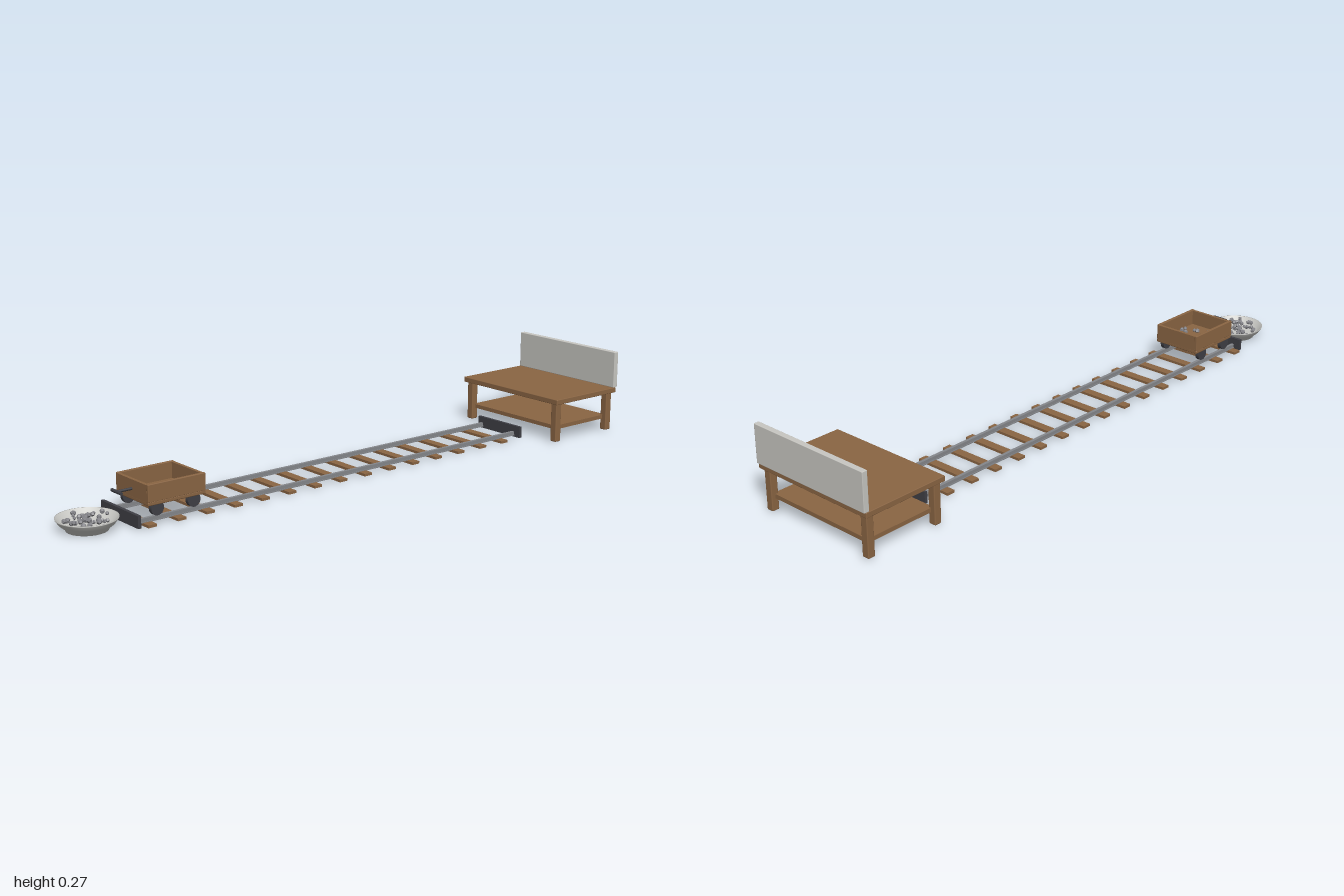
import * as THREE from 'three';
import { RoundedBoxGeometry } from 'three/addons/geometries/RoundedBoxGeometry.js';

const material = (name, color, extra = {}) =>
  Object.assign(new THREE.MeshStandardMaterial({ color, ...extra }), { name });

export function createModel() {
  const wood = material('wood', 0x8a6543);
  const steel = material('railSteel', 0x85878b);
  const iron = material('darkIron', 0x3f3f45);
  const pale = material('paleGrey', 0xc8c7c2);
  const dish = material('dishGrey', 0xc8c8c4, { side: THREE.DoubleSide });
  const stone = material('stone', 0x85858a, { flatShading: true });

  const model = new THREE.Group();
  model.name = 'railTrackSet';
  const group = (name) => {
    const g = new THREE.Group();
    g.name = name;
    model.add(g);
    return g;
  };
  const add = (parent, name, geometry, mat, x = 0, y = 0, z = 0) => {
    const m = new THREE.Mesh(geometry, mat);
    m.name = name;
    m.position.set(x, y, z);
    parent.add(m);
    return m;
  };
  // Box given by its limits on each axis, with an optional softened edge
  const box = (parent, name, mat, [x0, x1], [y0, y1], [z0, z1], r = 0) => {
    const size = [x1 - x0, y1 - y0, z1 - z0];
    const geometry = r ? new RoundedBoxGeometry(...size, 2, r) : new THREE.BoxGeometry(...size);
    return add(parent, name, geometry, mat, (x0 + x1) / 2, (y0 + y1) / 2, (z0 + z1) / 2);
  };
  let seed = 17;
  const random = () => (seed = (seed * 16807) % 2147483647) / 2147483647;

  // Bench with a lower shelf and a pale backboard
  const bench = group('bench');
  box(bench, 'benchTop', wood, [0.711, 0.994], [0.13, 0.147], [-0.217, 0.217], 0.002);
  box(bench, 'benchShelf', wood, [0.735, 0.972], [0.04, 0.053], [-0.192, 0.192]);
  box(bench, 'backboard', pale, [0.982, 1], [0.147, 0.267], [-0.217, 0.217], 0.002);
  for (const x of [0.732, 0.973])
    for (const z of [-0.195, 0.195])
      box(bench, 'benchLeg', wood, [x - 0.012, x + 0.012], [0.003, 0.131], [z - 0.012, z + 0.012], 0.003);

  // Track: sleepers, two rails, end stops
  const track = group('track');
  for (let i = 0; i < 15; i++) {
    const x = -0.769 + i * 0.0968;
    box(track, 'sleeper', wood, [x - 0.014, x + 0.014], [0.003, 0.011], [-0.108, 0.108]);
  }
  for (const z of [-0.073, 0.073]) {
    box(track, 'railBase', steel, [-0.79, 0.66], [0.01, 0.013], [z - 0.007, z + 0.007]);
    box(track, 'railHead', steel, [-0.79, 0.66], [0.013, 0.023], [z - 0.005, z + 0.005]);
  }
  for (const x of [-0.803, 0.671])
    box(track, 'endStop', iron, [x - 0.005, x + 0.005], [0.003, 0.04], [-0.096, 0.096]);

  // Open wooden wagon
  const wagon = group('wagon');
  const cx = -0.669;
  box(wagon, 'wagonFloor', wood, [cx - 0.096, cx + 0.096], [0.055, 0.067], [-0.083, 0.083], 0.003);
  for (const s of [-1, 1]) {
    const z = s * 0.078;
    const x = cx + s * 0.091;
    box(wagon, 'wagonSide', wood, [cx - 0.096, cx + 0.096], [0.065, 0.117], [z - 0.005, z + 0.005], 0.002);
    box(wagon, 'wagonEnd', wood, [x - 0.005, x + 0.005], [0.065, 0.115], [-0.074, 0.074]);
  }

  // Axles and wheels
  const across = (r, length, sides) => new THREE.CylinderGeometry(r, r, length, sides).rotateX(Math.PI / 2);
  for (const x of [-0.733, -0.611]) {
    add(wagon, 'axle', across(0.005, 0.146, 10), iron, x, 0.044);
    for (const z of [-0.073, 0.073]) add(wagon, 'wheel', across(0.021, 0.013, 24), iron, x, 0.044, z);
  }

  // Pull handle with a crossbar
  add(wagon, 'handleRod', new THREE.CylinderGeometry(0.004, 0.004, 0.055, 10).rotateZ(Math.PI / 2), iron, -0.79, 0.088);
  add(wagon, 'handleGrip', across(0.005, 0.05, 10), iron, -0.814, 0.088);

  // Shallow round dish
  const bowl = group('dish');
  bowl.position.x = -0.911;
  const profile = [[0, 0.004], [0.052, 0.004], [0.055, 0], [0.06, 0], [0.062, 0.006], [0.078, 0.019], [0.088, 0.033],
    [0.089, 0.036], [0.086, 0.036], [0.075, 0.023], [0.058, 0.012], [0, 0.01]];
  add(bowl, 'dishShell', new THREE.LatheGeometry(profile.map((p) => new THREE.Vector2(...p)), 40), dish);

  // Loose stones in the dish and on the wagon floor
  const pebble = new THREE.DodecahedronGeometry(1, 0);
  const scatter = (parent, count, place) => {
    for (let i = 0; i < count; i++) {
      const m = add(parent, 'pebble', pebble, stone, ...place(i));
      m.scale.setScalar(0.005 + random() * 0.004);
      m.rotation.set(random() * 6, random() * 6, random() * 6);
    }
  };
  scatter(bowl, 42, (i) => {
    const r = 0.066 * Math.sqrt((i + 0.5) / 42);
    const a = i * 2.4 + random() * 0.5;
    return [r * Math.cos(a), 0.02 + random() * 0.018, r * Math.sin(a)];
  });
  scatter(wagon, 18, () => [cx + (random() - 0.5) * 0.15, 0.071, (random() - 0.5) * 0.125]);

  return model;
}
